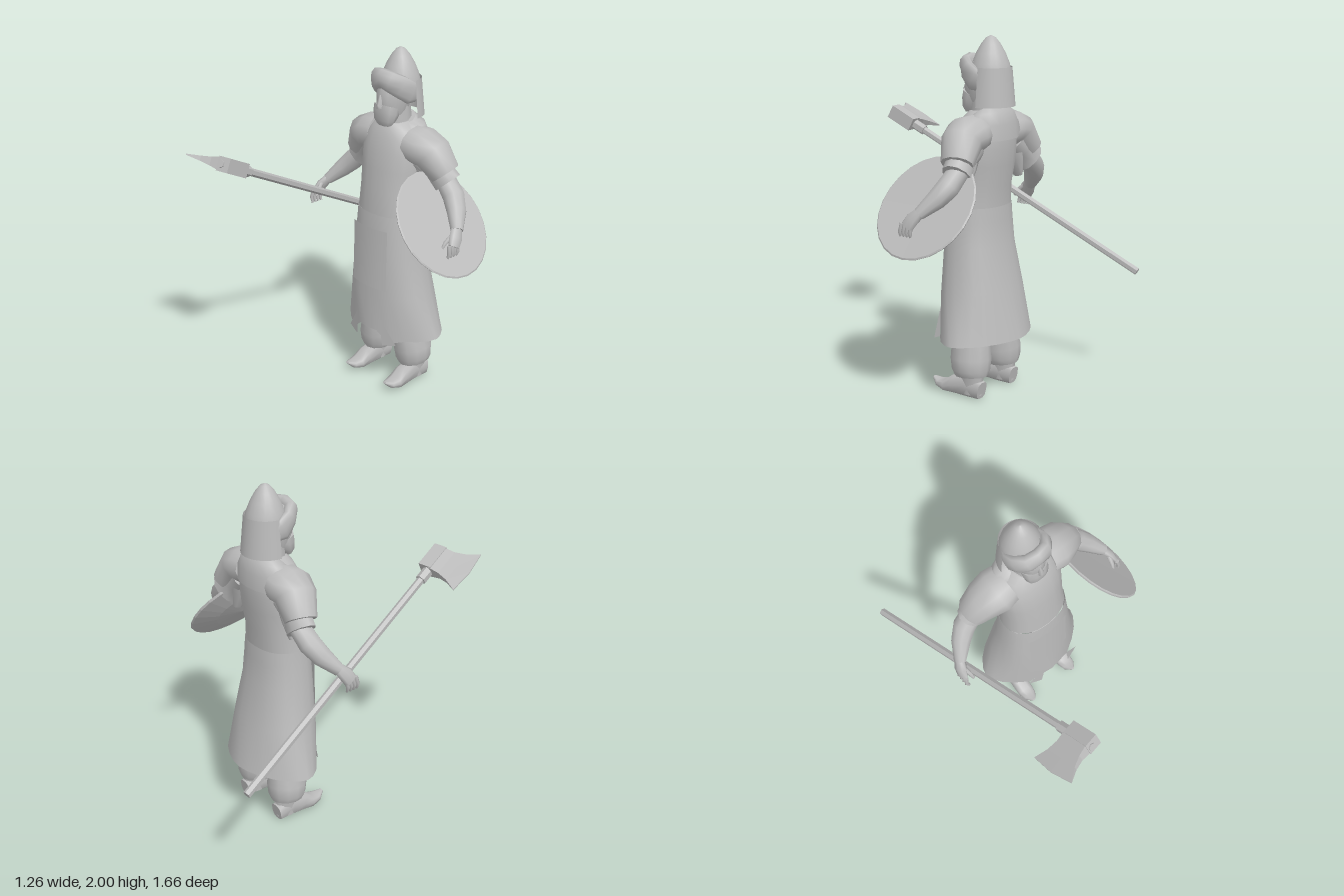
import * as THREE from 'three';

const grey = new THREE.MeshStandardMaterial({ color: 0xbcbcbc, side: THREE.DoubleSide });
grey.name = 'plain grey';

// Lofted elliptical tube. Each section is [x, y, z, r1, r2]; r2 lies along the ref direction.
// powers below 1 square the section off, above 1 pinch it to a diamond.
function loft(sections, { n = 12, ref = [0, 0, 1], caps = true, warp = null, power = 1, firstPower = power } = {}) {
  const pts = sections.map(s => new THREE.Vector3(s[0], s[1], s[2]));
  const pos = [], idx = [], last = pts.length - 1;
  const sp = (c, i) => Math.sign(c) * Math.abs(c) ** (i ? power : firstPower);
  pts.forEach((p, i) => {
    const t = pts[Math.min(i + 1, last)].clone().sub(pts[Math.max(i - 1, 0)]).normalize();
    const v = new THREE.Vector3(...ref).addScaledVector(t, -t.dot(new THREE.Vector3(...ref))).normalize();
    const u = v.clone().cross(t);
    for (let j = 0; j < n; j++) {
      const a = (j / n) * Math.PI * 2;
      const q = p.clone().addScaledVector(u, sp(Math.cos(a), i) * sections[i][3])
        .addScaledVector(v, sp(Math.sin(a), i) * sections[i][4]);
      if (warp) warp(q, i);
      pos.push(q.x, q.y, q.z);
    }
  });
  for (let i = 0; i < last; i++) for (let j = 0; j < n; j++) {
    const a = i * n + j, b = i * n + (j + 1) % n;
    idx.push(a, b, a + n, b, b + n, a + n);
  }
  if (caps) [0, last].forEach(i => {
    const base = pos.length / 3;
    pos.push(...pos.slice(i * n * 3, (i + 1) * n * 3));
    for (let j = 1; j < n - 1; j++) {
      if (i) idx.push(base, base + j, base + j + 1);
      else idx.push(base, base + j + 1, base + j);
    }
  });
  const g = new THREE.BufferGeometry();
  g.setAttribute('position', new THREE.Float32BufferAttribute(pos, 3));
  g.setIndex(idx);
  g.computeVertexNormals();
  return g;
}

// Flat-shaded copy of a geometry
function faceted(geo) {
  const g = geo.index ? geo.toNonIndexed() : geo;
  g.computeVertexNormals();
  return g;
}

export function createModel() {
  const model = new THREE.Group();
  const add = (name, geo, parent = model) => {
    const m = new THREE.Mesh(geo, grey);
    m.name = name;
    parent.add(m);
    return m;
  };
  // Vertical section from its height, front z, back z and half width
  const ring = (y, front, back, rx, x = 0) => [x, y, (front + back) / 2, rx, (front - back) / 2];

  // Robe skirt, parted at the front hem and pleated to a point at the back
  add('robeSkirt', loft([
    ring(0.33, 0.02, -0.45, 0.338), ring(0.6, 0.01, -0.385, 0.257), ring(0.85, 0, -0.335, 0.222),
    ring(1.0, -0.008, -0.325, 0.206), ring(1.08, -0.015, -0.32, 0.2),
  ], {
    n: 24, caps: false, power: 0.88, firstPower: 1.2,
    warp: (q, i) => {
      if (i === 0) q.y = q.z > -0.05 ? (Math.abs(q.x - 0.02) < 0.1 ? 0.37 : 0.3) : 0.325 - q.z * 0.04;
    },
  }));
  // Torso of the robe and the yoke across the upper back
  add('robeTorso', loft([
    ring(1.07, -0.018, -0.318, 0.198), ring(1.2, -0.028, -0.325, 0.188), ring(1.32, -0.042, -0.345, 0.195),
    ring(1.42, -0.056, -0.353, 0.2), ring(1.5, -0.08, -0.355, 0.185), ring(1.56, -0.1, -0.345, 0.145),
    ring(1.6, -0.12, -0.32, 0.085),
  ], { n: 20, power: 0.9 }));
  add('backYoke', loft([
    ring(1.45, -0.13, -0.365, 0.2), ring(1.53, -0.14, -0.36, 0.19), ring(1.58, -0.15, -0.343, 0.16),
    ring(1.605, -0.16, -0.31, 0.1),
  ], { n: 16 }));
  // Apron panel following the curve of the robe
  const apron = new THREE.PlaneGeometry(0.265, 0.365, 8, 1);
  const ap = apron.attributes.position;
  for (let i = 0; i < ap.count; i++) ap.setZ(i, -1.2 * ap.getX(i) ** 2);
  apron.computeVertexNormals();
  const panel = add('frontPanel', apron);
  panel.position.set(-0.008, 0.818, 0.008);
  panel.rotation.x = -0.03;
  // Folded flaps beside the hem opening
  [[-0.085, 1], [0.125, -1]].forEach(([x, s]) => {
    const fold = new THREE.Shape([[0, 0], [0.02 * s, 0.18], [-0.09 * s, 0.02]].map(p => new THREE.Vector2(...p)));
    const flap = add('hemFold', new THREE.ShapeGeometry(fold));
    flap.position.set(x, 0.295, 0.018);
    flap.rotation.y = -0.3 * s;
  });

  // Head, nose and beard
  add('neck', loft([ring(1.54, -0.12, -0.3, 0.085), ring(1.7, -0.13, -0.29, 0.075)], { n: 10 }));
  add('head', loft([
    ring(1.62, -0.1, -0.24, 0.06), ring(1.67, -0.078, -0.28, 0.078), ring(1.73, -0.078, -0.3, 0.087),
    ring(1.77, -0.09, -0.31, 0.09), ring(1.85, -0.13, -0.31, 0.088),
  ], { n: 12 }));
  add('nose', loft([ring(1.685, -0.06, -0.1, 0.018), ring(1.7, -0.056, -0.1, 0.016), ring(1.755, -0.076, -0.11, 0.008)], { n: 6 }));
  add('beard', loft([
    ring(1.585, -0.09, -0.15, 0.05), ring(1.61, -0.074, -0.16, 0.066), ring(1.65, -0.07, -0.19, 0.075),
    ring(1.685, -0.073, -0.21, 0.074),
  ], { n: 10, power: 0.8 }));

  // Domed helmet, neck guard and upturned brim
  const dome = [[0, 2], [0.025, 1.988], [0.052, 1.955], [0.08, 1.905], [0.102, 1.85], [0.113, 1.8], [0.114, 1.77]];
  const helmet = add('helmetDome', new THREE.LatheGeometry(dome.reverse().map(p => new THREE.Vector2(...p)), 20));
  helmet.position.z = -0.237;
  const guard = add('neckGuard', new THREE.CylinderGeometry(0.118, 0.137, 0.21, 14, 1, true, Math.PI / 2, Math.PI));
  guard.position.set(0, 1.727, -0.235);
  const half = [[0.1, 1.755, -0.255, 0.018, 0.05], [0.108, 1.768, -0.205, 0.024, 0.064], [0.09, 1.808, -0.15, 0.034, 0.064],
    [0.05, 1.836, -0.112, 0.04, 0.06]];
  const brim = [...half, [0, 1.846, -0.105, 0.039, 0.057], ...half.map(([x, ...r]) => [-x, ...r]).reverse()];
  add('brim', loft(brim, { n: 10, ref: [0, 1, 0] }));

  // Arms and legs, once per side
  for (const s of [1, -1]) {
    const side = (list) => list.map(([x, ...r]) => [x * s, ...r]);
    const arm = new THREE.Group();
    arm.name = s > 0 ? 'leftArm' : 'rightArm';
    model.add(arm);
    add('shoulderSleeve', loft(side([
      [0.13, 1.485, -0.225, 0.1, 0.12], [0.19, 1.478, -0.225, 0.106, 0.132], [0.255, 1.452, -0.235, 0.105, 0.115],
      [0.33, 1.348, -0.26, 0.08, 0.09],
    ]), { n: 12 }), arm);
    add('innerSleeve', loft(side([
      [0.2, 1.42, -0.235, 0.1, 0.09], [0.28, 1.36, -0.25, 0.082, 0.075], [0.338, 1.29, -0.265, 0.097, 0.075],
    ]), { n: 10 }), arm);
    add('underarmDrape', loft(side([
      [0.19, 1.43, -0.23, 0.08, 0.08], [0.225, 1.3, -0.24, 0.05, 0.06], [0.255, 1.205, -0.25, 0.02, 0.03],
    ]), { n: 8 }), arm);
    add('forearm', loft(side([
      [0.31, 1.32, -0.27, 0.058, 0.058], [0.4, 1.235, -0.255, 0.062, 0.064], [0.455, 1.175, -0.22, 0.053, 0.057],
      [0.52, 1.1, -0.155, 0.032, 0.036],
    ]), { n: 10 }), arm);
    add('palm', loft(side([
      [0.515, 1.11, -0.16, 0.026, 0.032], [0.54, 1.07, -0.125, 0.025, 0.045], [0.552, 1.03, -0.1, 0.018, 0.042],
    ]), { n: 8 }), arm);
    for (let f = 0; f < 4; f++) {
      const z = -0.132 + f * 0.022;
      add('finger', loft(side([
        [0.55, 1.045, z, 0.013, 0.012], [0.558, 1.0, z + 0.008, 0.012, 0.011], [0.545, 0.968, z + 0.012, 0.007, 0.007],
      ]), { n: 6 }), arm);
    }
    add('thumb', loft(side([
      [0.525, 1.085, -0.11, 0.014, 0.014], [0.515, 1.05, -0.07, 0.013, 0.013], [0.51, 1.02, -0.052, 0.007, 0.007],
    ]), { n: 6 }), arm);

    const leg = new THREE.Group();
    leg.name = s > 0 ? 'leftLeg' : 'rightLeg';
    model.add(leg);
    const at = (y, f, b, rx, x) => ring(y, f, b, rx, x * s);
    add('trouser', loft([
      at(0.125, -0.125, -0.32, 0.085, 0.15), at(0.16, -0.11, -0.33, 0.104, 0.148), at(0.22, -0.1, -0.335, 0.108, 0.145),
      at(0.32, -0.095, -0.32, 0.095, 0.13), at(0.5, -0.1, -0.3, 0.09, 0.11),
    ], { n: 12 }), leg);
    add('bootShaft', loft([
      at(0.02, -0.15, -0.3, 0.043, 0.155), at(0.08, -0.15, -0.3, 0.045, 0.155), at(0.15, -0.16, -0.305, 0.055, 0.155),
    ], { n: 10 }), leg);
    // Foot runs from heel to upturned toe
    add('bootFoot', loft(side([
      [0.155, 0.05, -0.3, 0.042, 0.05], [0.155, 0.068, -0.2, 0.046, 0.068], [0.157, 0.055, -0.12, 0.05, 0.053],
      [0.159, 0.036, -0.06, 0.05, 0.034], [0.16, 0.042, -0.01, 0.04, 0.02], [0.16, 0.064, 0.03, 0.012, 0.006],
    ]), { n: 10, ref: [0, 1, 0], power: 0.7 }), leg);
  }

  // Round shield under the left forearm, flat inside and bowed outside
  const dish = [[0, -0.06], [0.16, -0.045], [0.308, -0.008], [0.314, 0.002], [0.306, 0.008], [0, 0.004]];
  const shield = add('shield', faceted(new THREE.LatheGeometry(dish.map(p => new THREE.Vector2(...p)), 24)));
  shield.position.set(0.432, 1.118, -0.132);
  shield.rotation.z = -0.897;
  shield.scale.z = 0.945;

  // Long axe: local y follows the shaft, local x points to the cutting edge
  const axe = new THREE.Group();
  axe.name = 'axe';
  const d = new THREE.Vector3(0.249, 0.785, 1.495).normalize();
  const b = new THREE.Vector3(-0.986, -0.012, 0.166);
  b.addScaledVector(d, -b.dot(d)).normalize();
  axe.quaternion.setFromRotationMatrix(new THREE.Matrix4().makeBasis(b, d, b.clone().cross(d)));
  axe.position.set(-0.365, 1.44, 0.665);
  model.add(axe);
  const rod = (name, r, length, y) => {
    add(name, faceted(new THREE.CylinderGeometry(r, r, length, 6)), axe).position.y = y;
  };
  rod('axeShaft', 0.022, 1.8, -0.807);
  rod('axeSocket', 0.031, 0.1, -0.1);
  add('axeBlock', new THREE.BoxGeometry(0.08, 0.162, 0.08), axe).position.set(-0.014, 0.005, 0);
  // Blade flares and thins toward a bowed edge; each entry is [x, half height, half thickness]
  const blade = [[0.015, 0.08, 0.038], [0.08, 0.083, 0.024], [0.14, 0.1, 0.014], [0.212, 0.138, 0.003]];
  const pos = [], idx = [];
  blade.forEach(([x, h, t], i) => {
    const bow = i === 3 ? 0.015 : 0;
    pos.push(x, -h, -t, x + bow, 0, -t, x, h, -t, x, h, t, x + bow, 0, t, x, -h, t);
    if (i < 3) for (let j = 0; j < 6; j++) {
      const p = i * 6 + j, q = i * 6 + (j + 1) % 6;
      idx.push(p, p + 6, q, q, p + 6, q + 6);
    }
  });
  idx.push(18, 22, 19, 18, 23, 22, 19, 21, 20, 19, 22, 21);
  const bladeGeo = new THREE.BufferGeometry();
  bladeGeo.setAttribute('position', new THREE.Float32BufferAttribute(pos, 3));
  bladeGeo.setIndex(idx.reverse());
  add('axeBlade', faceted(bladeGeo), axe);

  return model;
}
